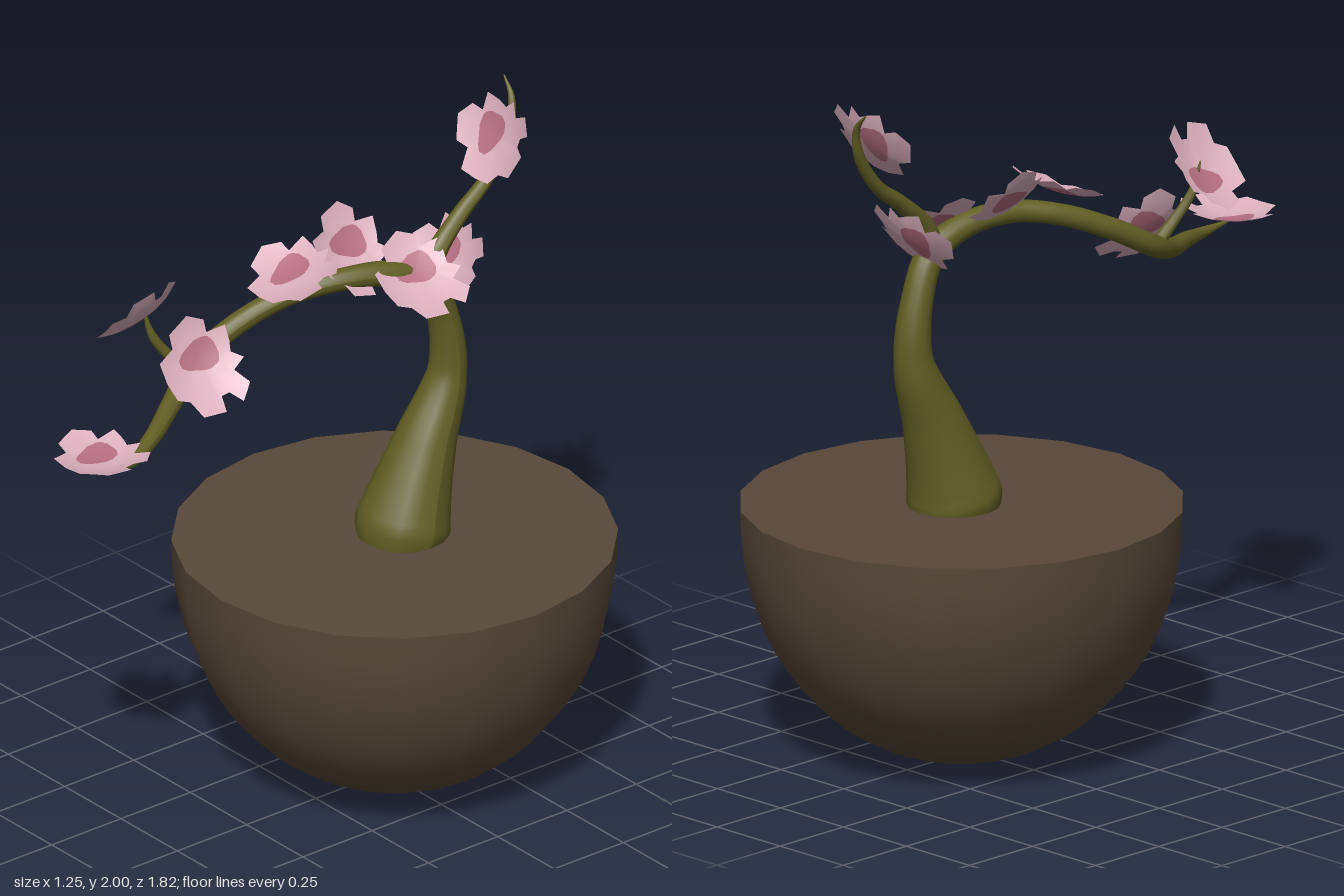
import * as THREE from 'three';

const paint = (name, color, side = THREE.FrontSide) => {
  const m = new THREE.MeshStandardMaterial({ color, side });
  m.name = name;
  return m;
};

// Tube through [x, y, z, radius] points, radius eased along its length
function taperedTube(points, segments, sides) {
  const curve = new THREE.CatmullRomCurve3(points.map(p => new THREE.Vector3(p[0], p[1], p[2])));
  const geo = new THREE.TubeGeometry(curve, segments, 1, sides, false);
  const pos = geo.attributes.position;
  const v = new THREE.Vector3();
  for (let i = 0; i <= segments; i++) {
    const centre = curve.getPointAt(i / segments);
    const t = curve.getUtoTmapping(i / segments) * (points.length - 1);
    const k = Math.min(Math.floor(t), points.length - 2);
    const r = THREE.MathUtils.lerp(points[k][3], points[k + 1][3], t - k);
    for (let j = 0; j <= sides; j++) {
      const n = i * (sides + 1) + j;
      v.fromBufferAttribute(pos, n).sub(centre).multiplyScalar(r).add(centre);
      pos.setXYZ(n, v.x, v.y, v.z);
    }
  }
  geo.computeVertexNormals();
  return geo;
}

// Notched blossom outline, as seen looking into the flower (counter-clockwise reversed)
const outline = [
  [-0.146, 0.015], [-0.115, 0.06], [-0.08, 0.055], [-0.075, 0.11], [-0.03, 0.105], [0, 0.095],
  [0.03, 0.12], [0.05, 0.08], [0.1, 0.1], [0.14, 0.055], [0.1, 0.035], [0.1, 0.01],
  [0.145, -0.005], [0.13, -0.075], [0.075, -0.085], [0.055, -0.12], [0, -0.125], [-0.06, -0.12],
  [-0.08, -0.06], [-0.12, -0.055],
];
const HEART = [-0.03, 0.01];
const cup = (x, y) => 1.6 * (x * x + y * y) - 0.012;

// Cupped band of the blossom between two ring functions (index -> [x, y])
function blossomBand(inner, outer, steps) {
  const pos = [], idx = [], n = outline.length;
  for (let s = 0; s <= steps; s++) {
    for (let i = 0; i < n; i++) {
      const a = inner(i), b = outer(i), t = s / steps;
      const x = a[0] + (b[0] - a[0]) * t, y = a[1] + (b[1] - a[1]) * t;
      pos.push(x, cup(x, y), -y);
    }
  }
  for (let s = 0; s < steps; s++) {
    for (let i = 0; i < n; i++) {
      const a = s * n + i, b = s * n + (i + 1) % n;
      idx.push(a, b, a + n, b, b + n, a + n);
    }
  }
  const geo = new THREE.BufferGeometry();
  geo.setAttribute('position', new THREE.Float32BufferAttribute(pos, 3));
  geo.setIndex(idx);
  geo.computeVertexNormals();
  return geo;
}

// Edge of the dark heart: an upright, slightly ragged oval
function heartEdge(i) {
  const a = Math.atan2(outline[i][1] - HEART[1], outline[i][0] - HEART[0]);
  const r = 1 + 0.12 * Math.sin(3 * a);
  return [HEART[0] + 0.045 * r * Math.cos(a), HEART[1] + 0.062 * r * Math.sin(a)];
}

export function createModel() {
  const model = new THREE.Group();
  const soil = paint('potBrown', 0x584839);
  const bark = paint('stemOlive', 0x625f24);
  const petal = paint('petalPink', 0xdcb0be, THREE.DoubleSide);
  const heart = paint('heartRose', 0xb56f82, THREE.DoubleSide);
  const add = (parent, name, geo, mat) => {
    const mesh = new THREE.Mesh(geo, mat);
    mesh.name = name;
    parent.add(mesh);
    return mesh;
  };

  // Bowl-shaped pot with a flat top
  const R = 0.627, H = 0.74;
  const profile = [];
  for (let i = 0; i <= 16; i++) {
    const a = (i / 16) * Math.PI / 2;
    profile.push(new THREE.Vector2(R * Math.sin(a) ** 0.94, H - H * Math.cos(a) ** 0.96));
  }
  profile[0].set(0, 0);
  profile[16].set(R, H);
  add(model, 'bowl', new THREE.LatheGeometry(profile, 20), soil).position.z = -0.285;
  const top = add(model, 'bowlTop', new THREE.CircleGeometry(R, 20), soil);
  top.rotation.x = -Math.PI / 2;
  top.position.set(0, H, -0.285);

  // Trunk sweeping over into the long front branch
  add(model, 'trunk', taperedTube([
    [0, 0.72, -0.305, 0.125], [0, 0.77, -0.315, 0.138], [0, 0.88, -0.35, 0.113], [0, 1.0, -0.395, 0.09],
    [0, 1.2, -0.475, 0.056], [0, 1.38, -0.458, 0.045], [0, 1.5, -0.4, 0.042], [-0.02, 1.56, -0.28, 0.037],
    [-0.06, 1.572, -0.13, 0.032], [-0.12, 1.545, 0.0, 0.031], [-0.17, 1.48, 0.15, 0.032],
    [-0.18, 1.405, 0.29, 0.032], [-0.11, 1.35, 0.43, 0.029], [-0.02, 1.32, 0.58, 0.024],
    [0.03, 1.305, 0.7, 0.016], [0.04, 1.312, 0.82, 0.002],
  ], 110, 16), bark);

  // Rear upright branch
  add(model, 'rearBranch', taperedTube([
    [0, 1.49, -0.38, 0.032], [0, 1.59, -0.44, 0.03], [-0.01, 1.67, -0.53, 0.024], [-0.02, 1.75, -0.64, 0.02],
    [-0.03, 1.86, -0.72, 0.016], [-0.05, 1.95, -0.748, 0.01], [-0.095, 2.0, -0.757, 0.002],
  ], 40, 12), bark);

  // Small side twig
  add(model, 'sideTwig', taperedTube([
    [-0.16, 1.39, 0.32, 0.02], [-0.17, 1.45, 0.38, 0.016], [-0.19, 1.53, 0.435, 0.013], [-0.2, 1.62, 0.46, 0.002],
  ], 20, 10), bark);

  // Blossoms: [centre, facing direction]
  const petalGeo = blossomBand(heartEdge, i => outline[i], 4);
  const heartGeo = blossomBand(() => HEART, heartEdge, 3);
  const up = new THREE.Vector3(0, 1, 0);
  [
    [[0.01, 1.345, 0.785], [0, 1, 0.05]],
    [[-0.21, 1.595, 0.465], [-0.7, 0.68, 0.15]],
    [[-0.11, 1.43, 0.32], [0.8, 0.55, 0.2]],
    [[-0.1, 1.62, 0], [0, 0.92, 0.39]],
    [[-0.1, 1.62, -0.21], [0.7, 0.7, -0.05]],
    [[0.05, 1.56, -0.335], [0.53, 0.83, 0.15]],
    [[0, 1.55, -0.48], [0, 0.57, 0.82]],
    [[0, 1.875, -0.645], [0, 0.47, 0.88]],
  ].forEach(([centre, facing], i) => {
    const blossom = new THREE.Group();
    blossom.name = `blossom${i + 1}`;
    add(blossom, 'petals', petalGeo, petal);
    add(blossom, 'heart', heartGeo, heart);
    blossom.position.set(...centre);
    blossom.quaternion.setFromUnitVectors(up, new THREE.Vector3(...facing).normalize());
    model.add(blossom);
  });
  return model;
}
